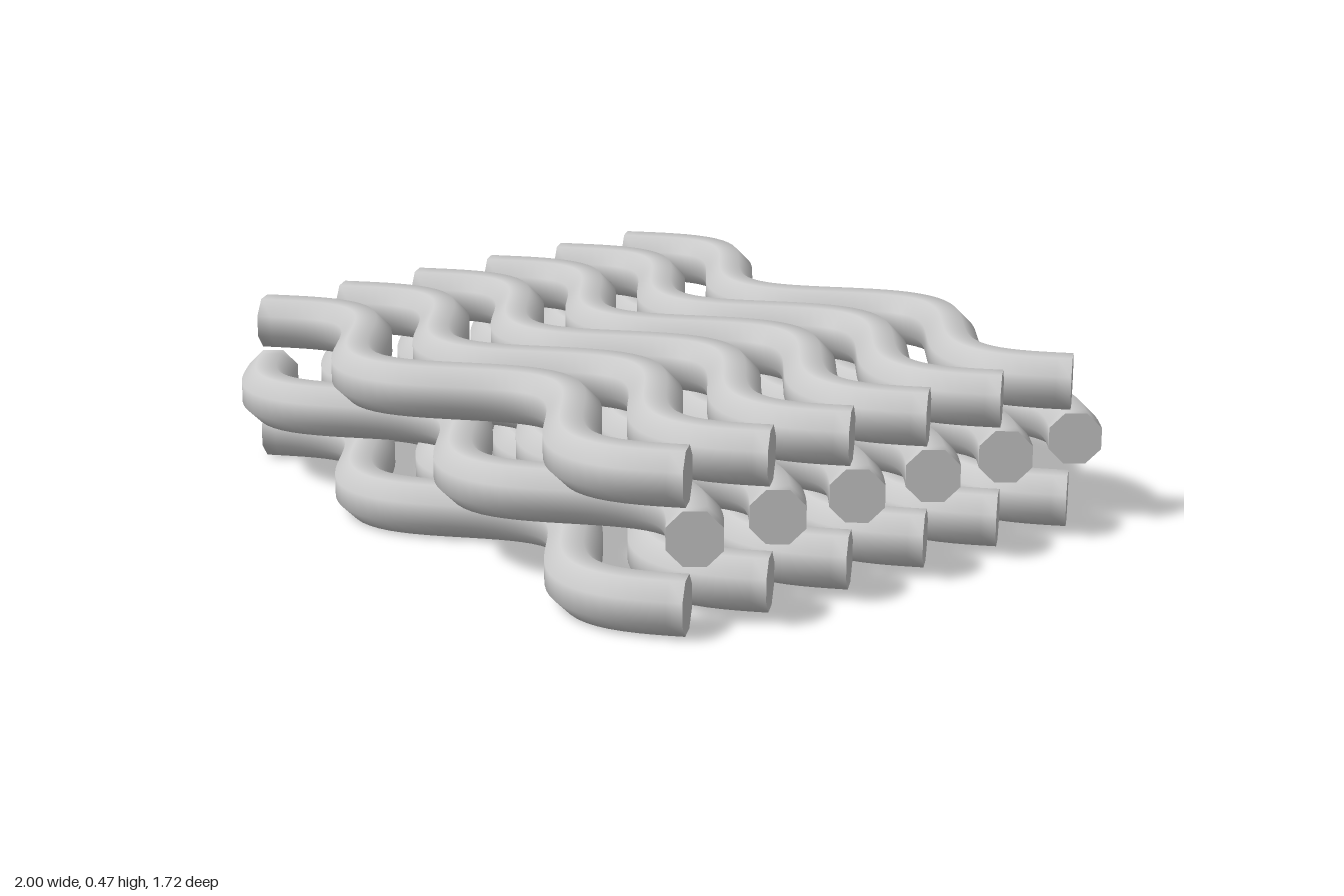
import * as THREE from 'three';

const SIDES = 8, STEPS = 64;
const APOTHEM = 0.07, RADIUS = APOTHEM / Math.cos(Math.PI / SIDES);
const HALF = 0.953, AMP = 0.1315, PERIOD = 0.953, SHIFT = 0.013;

// Octagonal rod swept along a sine wave in the xz plane, with flat end caps
function wavyRod(sign) {
  const pos = [], index = [], k = (2 * Math.PI) / PERIOD;
  const addRing = (x) => {
    const phase = k * (x - SHIFT);
    const z = sign * AMP * Math.sin(phase);
    const slope = sign * AMP * k * Math.cos(phase);
    const len = Math.hypot(1, slope);
    for (let j = 0; j < SIDES; j++) {
      const a = ((j + 0.5) / SIDES) * Math.PI * 2;
      const side = RADIUS * Math.cos(a);
      pos.push(x - (side * slope) / len, RADIUS * Math.sin(a), z + side / len);
    }
  };
  for (let i = 0; i <= STEPS; i++) addRing(-HALF + (2 * HALF * i) / STEPS);
  for (let i = 0; i < STEPS; i++) {
    for (let j = 0; j < SIDES; j++) {
      const n = (j + 1) % SIDES;
      const a = i * SIDES + j, b = i * SIDES + n;
      index.push(a, a + SIDES, b, b, a + SIDES, b + SIDES);
    }
  }
  // End caps use their own rings so the rim stays sharp
  for (const end of [-1, 1]) {
    const base = pos.length / 3;
    addRing(end * HALF);
    for (let j = 1; j < SIDES - 1; j++) {
      if (end > 0) index.push(base, base + j + 1, base + j);
      else index.push(base, base + j, base + j + 1);
    }
  }
  const geo = new THREE.BufferGeometry();
  geo.setAttribute('position', new THREE.Float32BufferAttribute(pos, 3));
  geo.setIndex(index);
  geo.computeVertexNormals();
  return geo;
}

export function createModel() {
  const model = new THREE.Group();
  model.name = 'wavyRodLattice';
  const material = new THREE.MeshStandardMaterial({ color: 0xcccccc });
  const outer = wavyRod(-1), middle = wavyRod(1);

  // Three stacked layers of six rods; the middle layer waves the opposite way
  ['bottomLayer', 'middleLayer', 'topLayer'].forEach((name, level) => {
    const layer = new THREE.Group();
    layer.name = name;
    layer.position.y = APOTHEM + level * 0.1625;
    for (let i = 0; i < 6; i++) {
      const rod = new THREE.Mesh(level === 1 ? middle : outer, material);
      rod.name = `wavyRod${i + 1}`;
      rod.position.z = (i - 2.5) * 0.2645;
      layer.add(rod);
    }
    model.add(layer);
  });
  return model;
}
